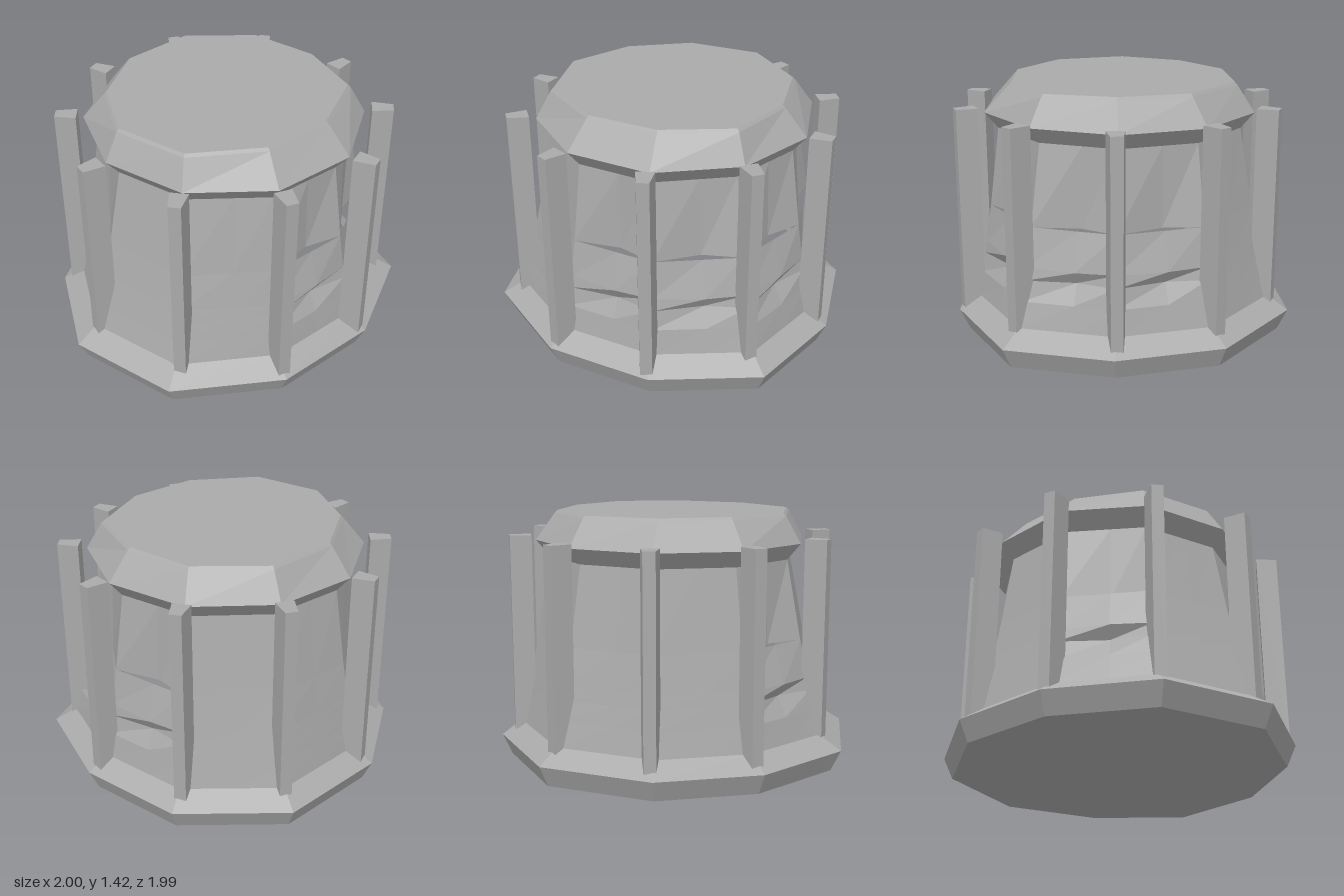
import * as THREE from 'three';

const N = 10;

// Uneven ten-sided footprint, counter-clockwise from the front corner
const FOOTPRINT = [
  [0, 0.99], [0.58, 0.79], [0.995, 0.33], [0.935, -0.27], [0.61, -0.78],
  [0, -1], [-0.6, -0.755], [-0.94, -0.27], [-1, 0.33], [-0.63, 0.85],
];

const footRing = (scale, y) => FOOTPRINT.map(([x, z]) => new THREE.Vector3(x * scale, y, z * scale));
const evenRing = (radius, y) => Array.from({ length: N }, (_, k) => {
  const a = (k / N) * Math.PI * 2;
  return new THREE.Vector3(Math.sin(a) * radius, y, Math.cos(a) * radius + 0.015);
});

function toGeometry(points) {
  const geometry = new THREE.BufferGeometry().setFromPoints(points);
  geometry.computeVertexNormals();
  return geometry;
}

const quad = (out, a, b, c, d) => out.push(a, b, c, a, c, d);

// Joins rings from bottom to top, optionally closing the ends
function loft(rings, closeBottom, closeTop) {
  const out = [];
  for (let r = 0; r + 1 < rings.length; r++) {
    for (let k = 0; k < N; k++) {
      const n = (k + 1) % N;
      quad(out, rings[r][k], rings[r][n], rings[r + 1][n], rings[r + 1][k]);
    }
  }
  const top = rings[rings.length - 1];
  for (let k = 1; k < N - 1; k++) {
    if (closeBottom) out.push(rings[0][0], rings[0][k + 1], rings[0][k]);
    if (closeTop) out.push(top[0], top[k], top[k + 1]);
  }
  return toGeometry(out);
}

// Tapered wall; the battered panels bulge and split open at a slit
function wallGeometry() {
  const low = footRing(0.88, 0.21);
  const high = evenRing(0.705, 1.18);
  const battered = [0, 1, 2, 3, 7];
  // Rows: height, push of the panel's middle along its outward direction
  const lower = [[0.21, 0], [0.35, 0], [0.46, -0.035], [0.53, 0.02], [0.74, 0]];
  const upper = [[0.74, -0.05], [1.18, 0]];
  const corner = (k, y) => {
    const h = (y - 0.21) / 0.97;
    const t = h + 0.22 * h * (1 - h);
    return low[k].clone().lerp(high[k], t).setY(y);
  };
  const out = [];
  for (let k = 0; k < N; k++) {
    const n = (k + 1) % N;
    for (const rows of [lower, upper]) {
      const strip = rows.map(([y, push]) => {
        const a = corner(k, y);
        const b = corner(n, y);
        const m = a.clone().lerp(b, 0.55);
        const direction = new THREE.Vector3(m.x, 0, m.z).normalize();
        if (battered.includes(k)) m.addScaledVector(direction, push);
        return [a, m, b];
      });
      for (let r = 0; r + 1 < strip.length; r++) {
        for (let i = 0; i < 2; i++) {
          quad(out, strip[r][i], strip[r][i + 1], strip[r + 1][i + 1], strip[r + 1][i]);
        }
      }
    }
  }
  return toGeometry(out);
}

// Upright bar with a trapezoid section, narrower on the outside
function barGeometry() {
  const section = new THREE.Shape([
    new THREE.Vector2(-0.033, -0.06), new THREE.Vector2(0.033, -0.06),
    new THREE.Vector2(0.05, 0.06), new THREE.Vector2(-0.05, 0.06),
  ]);
  const geometry = new THREE.ExtrudeGeometry(section, { depth: 1.16, bevelEnabled: false });
  return geometry.rotateX(-Math.PI / 2);
}

export function createModel() {
  const model = new THREE.Group();
  const stone = new THREE.MeshStandardMaterial({ color: 0xaaaaaa, flatShading: true });
  stone.name = 'plain grey';

  const add = (name, geometry) => {
    const mesh = new THREE.Mesh(geometry, stone);
    mesh.name = name;
    model.add(mesh);
    return mesh;
  };

  // Flared base
  add('base', loft([footRing(0.945, 0.01), footRing(1, 0.13), footRing(0.88, 0.21)], true, false))
    .position.y = 0;

  add('wall', wallGeometry());

  // Cap with an overhanging rim and bevelled shoulder
  add('cap', loft([
    evenRing(0.705, 1.18), evenRing(0.78, 1.27),
    footRing(0.665, 1.42), footRing(0.65, 1.435),
  ], false, true));

  // Ring of free-standing bars
  const bars = new THREE.Group();
  bars.name = 'bars';
  const bar = barGeometry();
  for (let k = 0; k < N; k++) {
    const a = (k / N) * Math.PI * 2;
    const mesh = new THREE.Mesh(bar, stone);
    mesh.name = 'bar';
    mesh.position.set(Math.sin(a) * 0.875, 0.14, Math.cos(a) * 0.875 + 0.025);
    mesh.rotation.y = a + 0.12 * Math.sin(k * 2.3);
    bars.add(mesh);
  }
  model.add(bars);

  return model;
}
